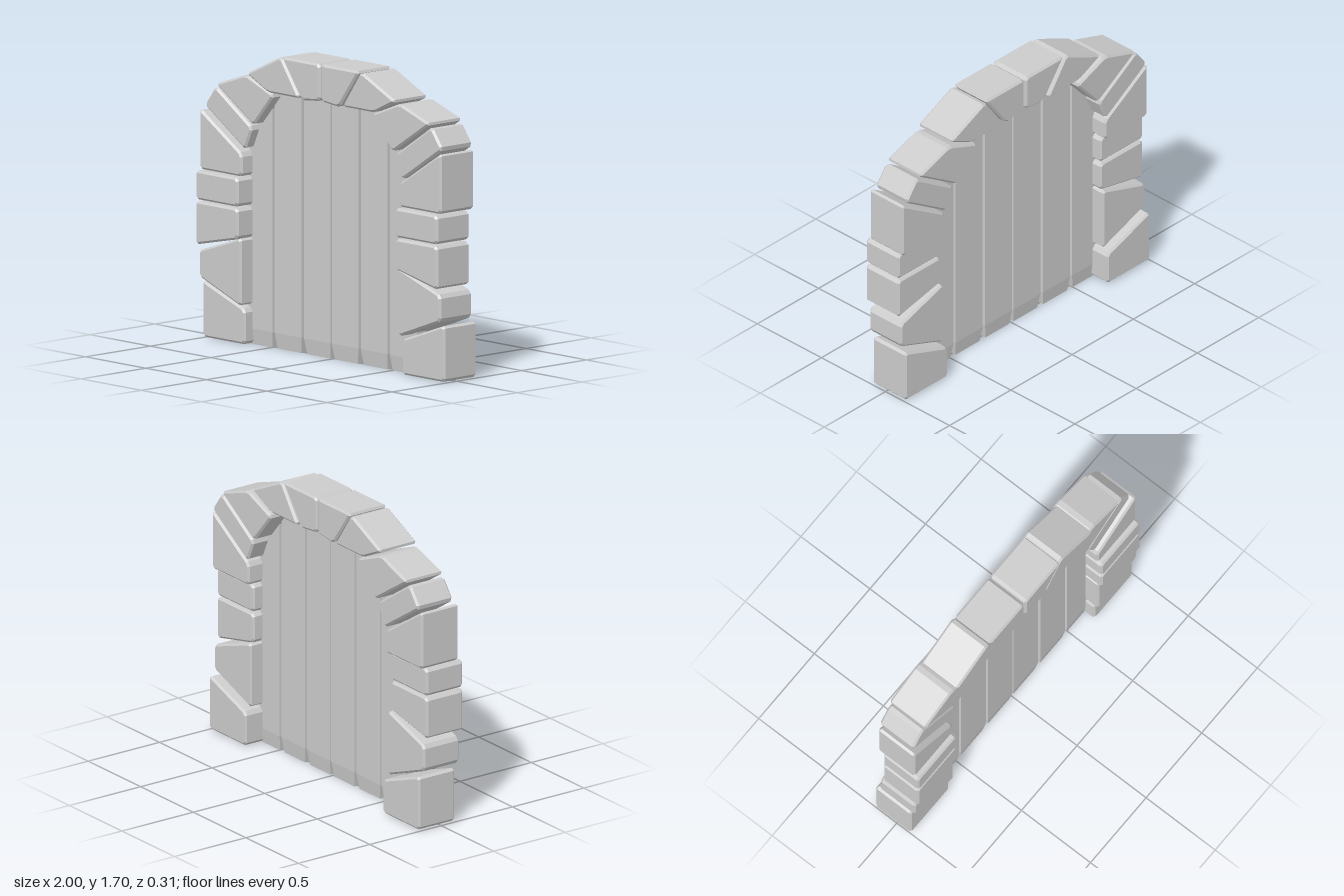
import * as THREE from 'three';

const BEVEL = 0.012, CUT = 0.018;
const material = new THREE.MeshStandardMaterial({ color: 0xcccccc, flatShading: true });

// Stone block: polygon with clipped corners, extruded from zBack to zFront with a chamfer
function stone(corners, zBack, zFront, side) {
  const pts = corners.map(([x, y]) => new THREE.Vector2(x * side, y));
  const n = pts.length;
  const outline = [];
  pts.forEach((p, i) => {
    for (const q of [pts[(i + n - 1) % n], pts[(i + 1) % n]]) {
      outline.push(p.clone().add(q.clone().sub(p).setLength(CUT)));
    }
  });
  const geometry = new THREE.ExtrudeGeometry(new THREE.Shape(outline), {
    depth: zFront - zBack - 2 * BEVEL,
    bevelEnabled: true, bevelSegments: 1,
    bevelSize: BEVEL, bevelThickness: BEVEL, bevelOffset: -BEVEL,
  });
  geometry.translate(0, 0, zBack + BEVEL);
  return new THREE.Mesh(geometry, material);
}

// Door plank: box with a tapered foot and an optionally sloping top
function plank(xIn, xOut, topIn, topOut, side) {
  const geometry = new THREE.BoxGeometry(1, 1, 1, 1, 2, 1);
  const pos = geometry.attributes.position;
  const mid = (xIn + xOut) / 2, width = xOut - xIn;
  for (let i = 0; i < pos.count; i++) {
    const u = pos.getX(i) * side, v = pos.getY(i);
    const foot = v < -0.25;
    const x = mid + u * (width - (foot ? 0.028 : 0));
    const y = foot ? 0 : v < 0.25 ? 0.09 : (u < 0 ? topIn : topOut);
    pos.setXYZ(i, x * side, y, pos.getZ(i) * (foot ? 0.052 : 0.074));
  }
  geometry.computeVertexNormals();
  return new THREE.Mesh(geometry, material);
}

// One half of the surround, bottom to crown: corners, back z, front z
const stones = [
  [[[0.65, 0.005], [1, 0.005], [1, 0.33], [0.65, 0.205]], -0.155, 0.1],
  [[[0.65, 0.225], [1, 0.355], [1, 0.505], [0.65, 0.62]], -0.12, 0.13],
  [[[0.65, 0.615], [1, 0.54], [1, 0.79], [0.65, 0.79]], -0.1, 0.155],
  [[[0.65, 0.8], [1, 0.8], [1, 0.965], [0.65, 0.965]], -0.1, 0.155],
  [[[0.65, 0.97], [1, 0.97], [1, 1.32], [0.65, 1.1]], -0.135, 0.125],
  [[[0.65, 1.12], [0.985, 1.335], [0.895, 1.455], [0.59, 1.255]], -0.145, 0.1],
  [[[0.575, 1.27], [0.888, 1.47], [0.635, 1.555], [0.405, 1.465]], -0.155, 0.105],
  [[[0.44, 1.48], [0.62, 1.565], [0.33, 1.7], [0.175, 1.48]], -0.14, 0.12],
  [[[0.155, 1.473], [0.322, 1.7], [0.004, 1.7], [0.004, 1.488]], -0.135, 0.125],
];

// One half of the door: inner x, outer x, top at inner and outer edge
const planks = [
  [0.005, 0.225, 1.53, 1.53],
  [0.245, 0.468, 1.53, 1.53],
  [0.485, 0.71, 1.45, 1.29],
];

export function createModel() {
  const model = new THREE.Group();
  model.name = 'archedDoorway';
  const surround = new THREE.Group();
  surround.name = 'stoneArch';
  const door = new THREE.Group();
  door.name = 'plankDoor';
  model.add(surround, door);

  for (const [side, label] of [[1, 'left'], [-1, 'right']]) {
    stones.forEach(([corners, zBack, zFront], i) => {
      const mesh = stone(corners, zBack, zFront, side);
      mesh.name = `${label}${i < 5 ? 'JambStone' : 'ArchStone'}${i + 1}`;
      surround.add(mesh);
    });
    planks.forEach((p, i) => {
      const mesh = plank(...p, side);
      mesh.name = `${label}Plank${i + 1}`;
      door.add(mesh);
    });
  }
  return model;
}
